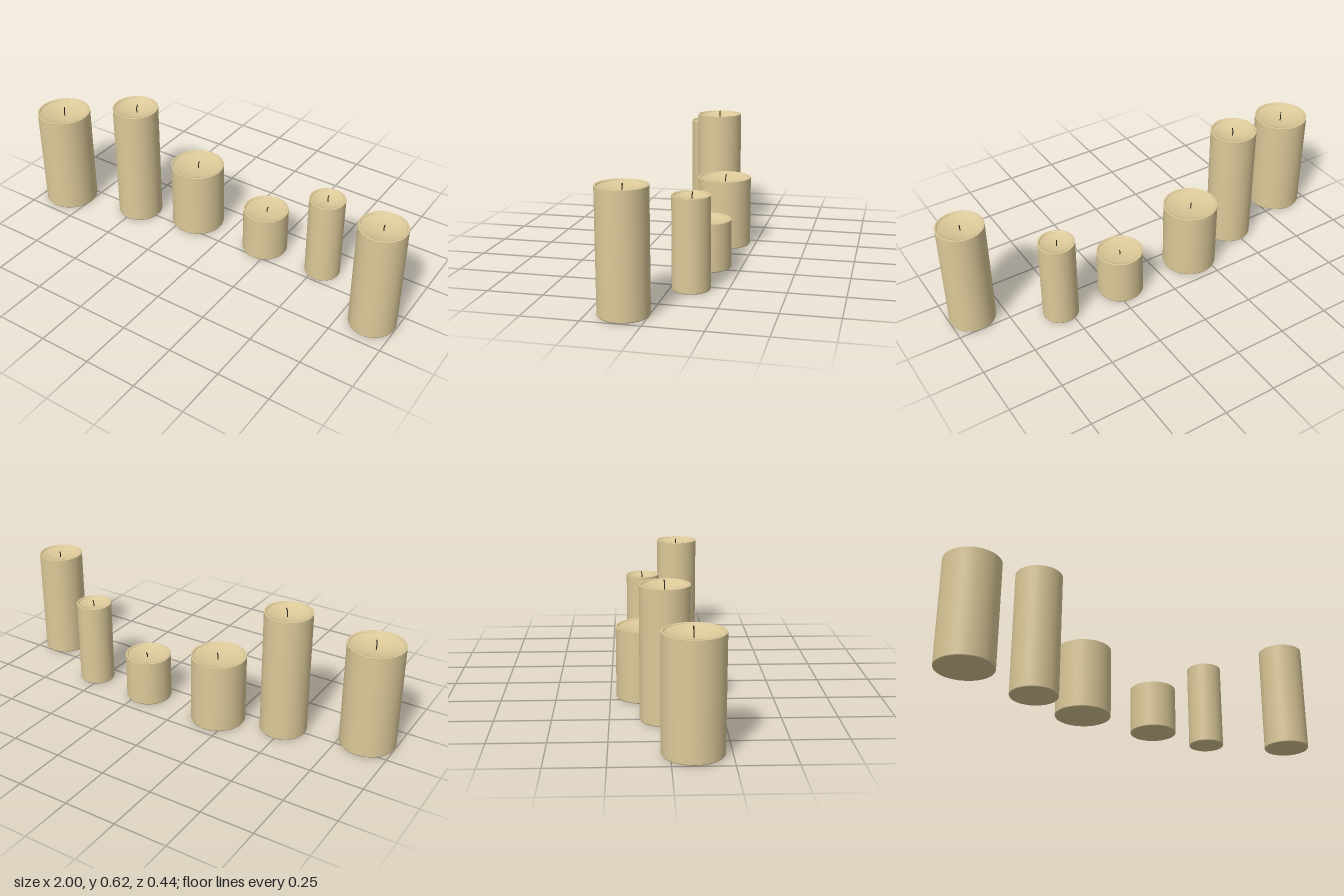
import * as THREE from 'three';

const wax = new THREE.MeshStandardMaterial({ color: 0xdcc999 });
wax.name = 'cream wax';
const char = new THREE.MeshStandardMaterial({ color: 0x2e2820 });
char.name = 'charred wick';

// x, z, radius, height, dish depth, wick tip height, wick lean in x and z
const candles = [
  [-0.87, 0.092, 0.13, 0.505, 0.028, 0.525, 0.003, -0.003],
  [-0.49, -0.008, 0.11, 0.601, 0.028, 0.617, 0.011, -0.003],
  [-0.187, -0.094, 0.129, 0.336, 0.024, 0.35, 0.003, -0.009],
  [0.21, -0.094, 0.109, 0.227, 0.02, 0.235, 0.006, -0.01],
  [0.532, -0.091, 0.084, 0.415, 0.02, 0.429, 0.001, -0.006],
  [0.891, 0.102, 0.108, 0.53, 0.024, 0.536, 0.003, -0.005],
];

// One turned surface; separate profiles keep the edges between them crisp
function turned(name, profile) {
  const points = profile.map(([r, y]) => new THREE.Vector2(r, y));
  const mesh = new THREE.Mesh(new THREE.LatheGeometry(points, 48), wax);
  mesh.name = name;
  return mesh;
}

function makeCandle([x, z, r, h, depth, tip, leanX, leanZ]) {
  const candle = new THREE.Group();
  candle.name = 'candle';
  candle.position.set(x, 0, z);
  const inner = r - 0.011;
  const lip = h - 0.006;
  const floor = h - depth;

  candle.add(
    turned('base', [[0, 0], [r - 0.005, 0]]),
    turned('baseBevel', [[r - 0.005, 0], [r - 0.0015, 0.0015], [r, 0.005]]),
    turned('side', [[r, 0.005], [r, h - 0.001]]),
    turned('rim', [[r, h - 0.001], [r - 0.003, h], [inner + 0.002, h], [inner, lip]]),
    // Shallow melted hollow
    turned('meltedTop', [
      [inner, lip],
      [inner * 0.8, lip - (lip - floor) * 0.4],
      [inner * 0.5, lip - (lip - floor) * 0.78],
      [inner * 0.2, lip - (lip - floor) * 0.97],
      [0, floor],
    ]),
  );

  // Slightly bent wick, closed by a small tip
  const top = new THREE.Vector3(leanX, tip - 0.002, leanZ);
  const path = new THREE.CatmullRomCurve3([
    new THREE.Vector3(leanX * 0.6, floor - 0.003, leanZ * 0.6),
    new THREE.Vector3(leanX * 0.6 - 0.001, (floor + tip) / 2, leanZ * 0.6),
    top,
  ]);
  const wick = new THREE.Mesh(new THREE.TubeGeometry(path, 8, 0.0024, 8), char);
  wick.name = 'wick';
  const wickTip = new THREE.Mesh(new THREE.SphereGeometry(0.0024, 8, 6), char);
  wickTip.name = 'wickTip';
  wickTip.position.copy(top);
  candle.add(wick, wickTip);
  return candle;
}

export function createModel() {
  const group = new THREE.Group();
  group.name = 'candleSet';
  for (const spec of candles) group.add(makeCandle(spec));
  return group;
}
